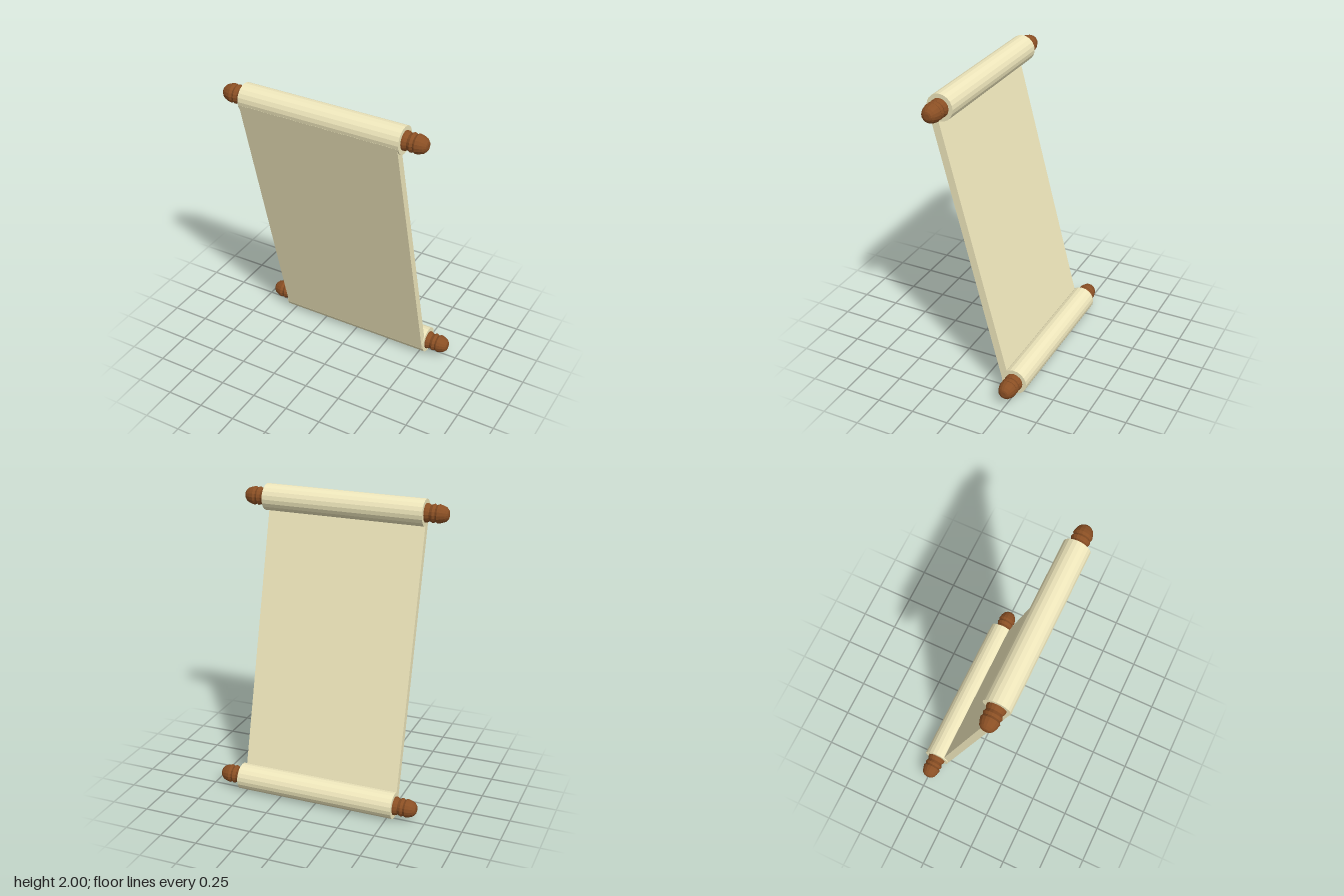
import * as THREE from 'three';

const paper = new THREE.MeshStandardMaterial({ color: 0xefe7bc, flatShading: true });
const wood = new THREE.MeshStandardMaterial({ color: 0x8a4f24, flatShading: true });

const ROLL_RADIUS = 0.0875;
const ROLL_Y = 0.9125; // half the height between roll centres
const ROLL_Z = 0.24;   // half the depth between roll centres
const SHEET_THICKNESS = 0.05;

// Turned end knob: [distance along the rod, radius]
const KNOB = [
  [0.545, 0.061], [0.556, 0.061], [0.576, 0.051], [0.597, 0.061], [0.613, 0.052],
  [0.628, 0.061], [0.65, 0.056], [0.675, 0.046], [0.69, 0.03], [0.694, 0.018], [0.694, 0],
];

function addMesh(parent, name, geometry, material) {
  const mesh = new THREE.Mesh(geometry, material);
  mesh.name = name;
  parent.add(mesh);
  return mesh;
}

// One rolled end of paper around a wooden rod with a knob on each side
function createRoll(name) {
  const roll = new THREE.Group();
  roll.name = name;

  const paperRoll = new THREE.CylinderGeometry(ROLL_RADIUS, ROLL_RADIUS, 1.09, 20);
  addMesh(roll, 'paperRoll', paperRoll.rotateZ(-Math.PI / 2), paper);

  const half = KNOB.map(([x, r]) => new THREE.Vector2(r, x));
  const mirrored = half.map((p) => new THREE.Vector2(p.x, -p.y)).reverse();
  const rod = new THREE.LatheGeometry([...mirrored, ...half], 16);
  addMesh(roll, 'woodenRod', rod.rotateZ(-Math.PI / 2), wood);
  return roll;
}

export function createModel() {
  const model = new THREE.Group();
  model.name = 'scroll';

  // Rolls at the top front and bottom back
  for (const [name, side] of [['topRoll', 1], ['bottomRoll', -1]]) {
    const roll = createRoll(name);
    roll.position.set(0, 1 + side * ROLL_Y, side * ROLL_Z);
    model.add(roll);
  }

  // Leaning sheet, its front flush with the front tangent of both rolls
  const length = 2 * Math.hypot(ROLL_Y, ROLL_Z);
  const sheetGeometry = new THREE.BoxGeometry(1.076, length, SHEET_THICKNESS);
  sheetGeometry.translate(0, 0, ROLL_RADIUS - SHEET_THICKNESS / 2);
  const sheet = addMesh(model, 'sheet', sheetGeometry, paper);
  sheet.rotation.x = Math.atan2(ROLL_Z, ROLL_Y);
  sheet.position.y = 1;

  return model;
}
